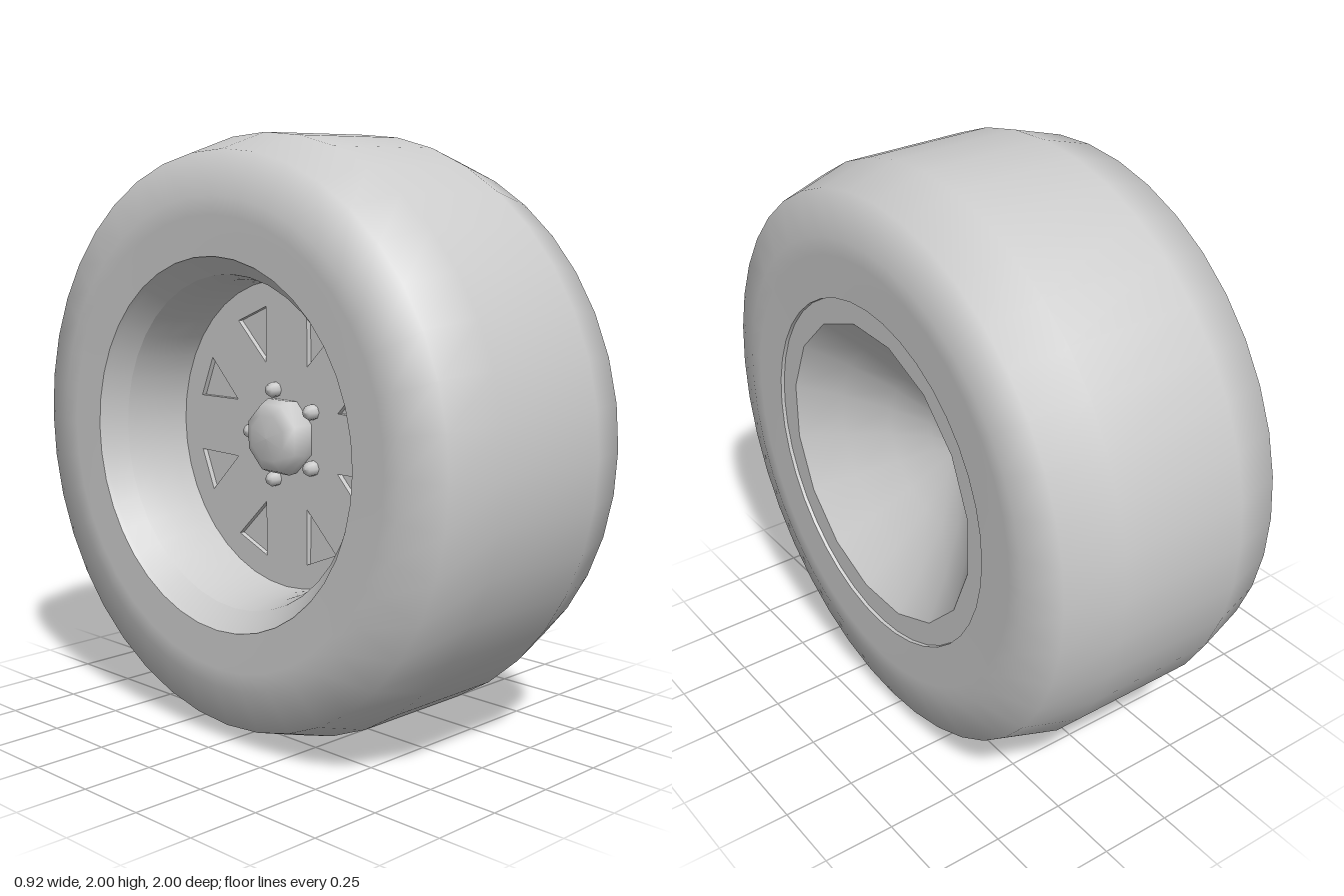
import * as THREE from 'three';

const grey = new THREE.MeshStandardMaterial({ color: 0xcccccc });
grey.name = 'plain grey';

export function createModel() {
  const wheel = new THREE.Group();
  wheel.name = 'wheel';

  const add = (name, geometry, parent = wheel) => {
    const mesh = new THREE.Mesh(geometry, grey);
    mesh.name = name;
    parent.add(mesh);
    return mesh;
  };

  // Surface of revolution about the x axle, from [radius, x] pairs
  const turn = (name, profile, sides, phase = 0, parent = wheel) => {
    const g = new THREE.LatheGeometry(profile.map(([r, x]) => new THREE.Vector2(r, x)), sides);
    g.rotateZ(-Math.PI / 2);
    g.rotateX(phase);
    return add(name, g, parent);
  };

  // Tyre with flat tread, rounded shoulders and flat sidewalls
  turn('tyre', [
    [0.61, -0.457], [0.74, -0.46], [0.8, -0.46], [0.945, -0.415], [1, -0.23],
    [1, 0.23], [0.945, 0.415], [0.8, 0.457], [0.74, 0.457], [0.6, 0.455],
  ], 40);
  turn('tyreBead', [[0.6, 0.455], [0.598, 0.435]], 40);

  // Outer rim: slanted lip, then a dished barrel down to the disc
  turn('rimLip', [[0.55, -0.38], [0.6, -0.44], [0.612, -0.457]], 40);
  turn('rimBarrel', [[0.522, -0.12], [0.522, -0.2], [0.53, -0.3], [0.55, -0.38]], 40);

  // Disc pierced by eight shallow triangular openings
  const face = new THREE.Shape();
  face.absarc(0, 0, 0.526, 0, Math.PI * 2, false);
  for (let i = 0; i < 8; i++) {
    const a = (i + 0.5) * Math.PI / 4;
    const at = (r, d) => new THREE.Vector2(r * Math.cos(a + d), r * Math.sin(a + d));
    face.holes.push(new THREE.Path([at(0.26, 0), at(0.44, -0.17), at(0.44, 0.17)]));
  }
  const disc = new THREE.ExtrudeGeometry(face, { depth: 0.018, bevelEnabled: false, curveSegments: 20 });
  disc.rotateY(-Math.PI / 2);
  add('rimDisc', disc).position.x = -0.122;

  // Plate closing the openings from behind
  const backing = new THREE.CircleGeometry(0.526, 40);
  backing.rotateY(-Math.PI / 2);
  add('discBacking', backing).position.x = -0.12;

  // Blunt centre cap and five wheel nuts
  turn('hubCap', [[0, -0.235], [0.08, -0.23], [0.12, -0.21], [0.135, -0.175], [0.13, -0.135]], 8, Math.PI / 8);
  const nuts = new THREE.Group();
  nuts.name = 'wheelNuts';
  wheel.add(nuts);
  for (let i = 0; i < 5; i++) {
    const a = Math.PI / 5 + i * Math.PI * 2 / 5;
    const nut = turn('wheelNut', [[0, -0.18], [0.018, -0.175], [0.026, -0.16], [0.026, -0.135]], 8, 0, nuts);
    nut.position.set(0, 0.16 * Math.sin(a), 0.16 * Math.cos(a));
  }

  // Inner side: slightly sunk flange around a wide, conical bowl
  turn('innerFlange', [[0.63, 0.443], [0.52, 0.443]], 16, Math.PI / 16);
  turn('innerBowl', [
    [0.52, 0.443], [0.4, 0.33], [0.26, 0.22], [0.13, 0.14], [0, 0.1],
  ], 16, Math.PI / 16);

  // Stand the wheel on the ground
  wheel.children.forEach((part) => { part.position.y += 1; });
  return wheel;
}
